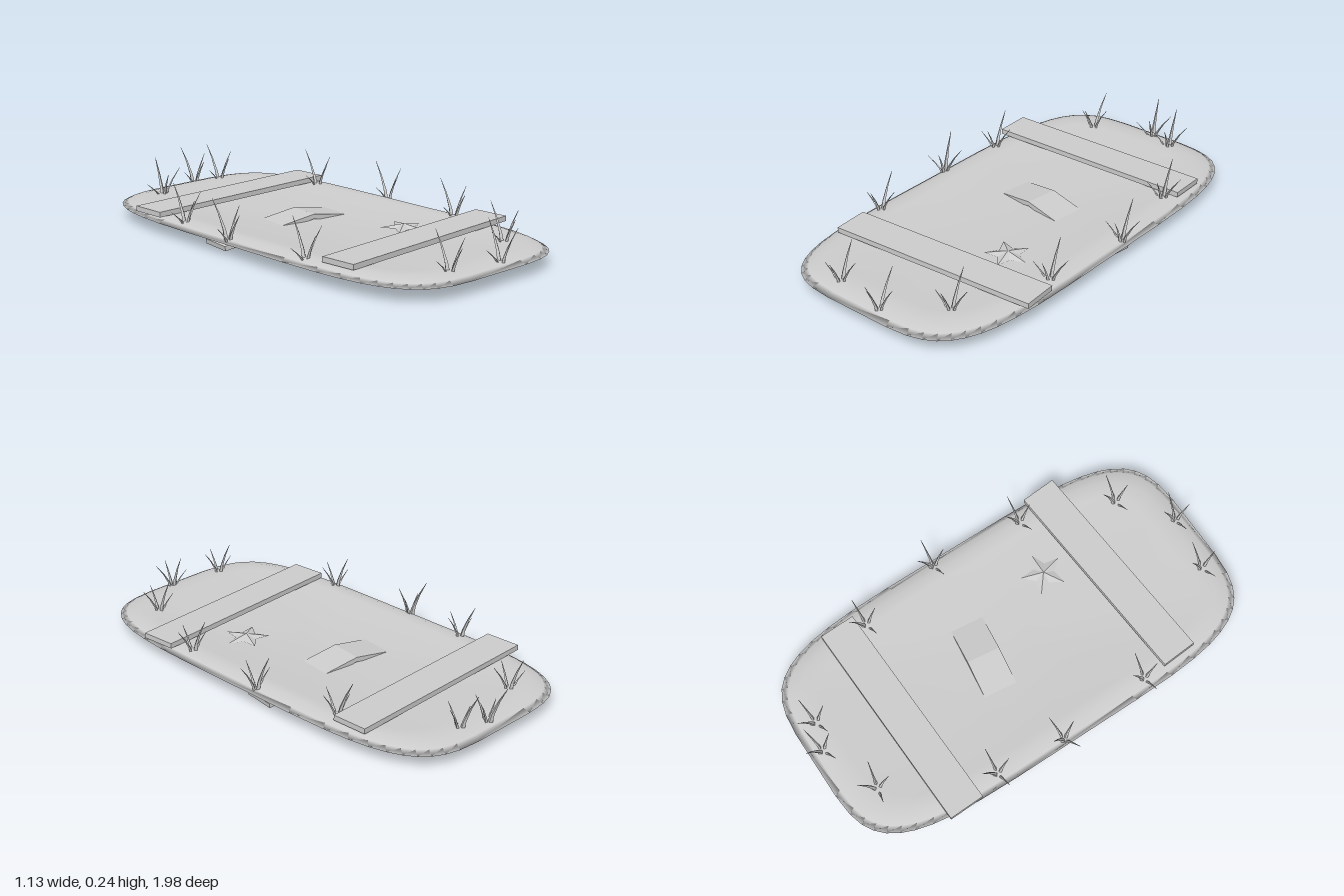
import * as THREE from 'three';

export function createModel() {
  const root = new THREE.Group();
  root.name = 'grassyPathTile';
  const grey = new THREE.MeshStandardMaterial({ color: 0xcccccc });
  grey.name = 'pale grey';

  const add = (name, geometry, parent = root) => {
    const mesh = new THREE.Mesh(geometry, grey);
    mesh.name = name;
    parent.add(mesh);
    return mesh;
  };
  const faceted = (geometry) => {
    const g = geometry.toNonIndexed();
    g.computeVertexNormals();
    return g;
  };

  // Ground slab: rounded-rectangle rings [half width, half length, height],
  // from the underside out to the rim and over the slightly dished top.
  const rings = [
    [0.01, 0.02, 0.057], [0.45, 0.92, 0.057], [0.512, 0.982, 0.06],
    [0.49, 0.955, 0.074], [0.45, 0.90, 0.088], [0.40, 0.83, 0.087],
    [0.26, 0.55, 0.068], [0.01, 0.02, 0.065],
  ];
  const sides = 44;
  const power = 2 / 4.5;
  const positions = [], indices = [];
  const bulge = (v) => Math.sign(v) * Math.pow(Math.abs(v), power);
  for (const [w, l, y] of rings) {
    for (let i = 0; i < sides; i++) {
      const a = ((i + 0.5) / sides) * Math.PI * 2;
      positions.push(w * bulge(Math.cos(a)), y, l * bulge(Math.sin(a)) + 0.003);
    }
  }
  for (let r = 0; r < rings.length - 1; r++) {
    for (let i = 0; i < sides; i++) {
      const j = (i + 1) % sides;
      const a = r * sides + i, b = r * sides + j;
      const c = a + sides, d = b + sides;
      indices.push(a, c, b, b, c, d);
    }
  }
  // Close the small middle of the underside and of the top
  const last = (rings.length - 1) * sides;
  for (let i = 1; i < sides - 1; i++) {
    indices.push(0, i, i + 1, last, last + i + 1, last + i);
  }
  const slab = new THREE.BufferGeometry();
  slab.setAttribute('position', new THREE.Float32BufferAttribute(positions, 3));
  slab.setIndex(indices);
  slab.computeVertexNormals();
  add('groundSlab', slab);

  // Two flat planks laid across the slab
  const plank = (name, x, z, yaw) => {
    const m = add(name, new THREE.BoxGeometry(0.975, 0.023, 0.16));
    m.position.set(x, 0.1, z);
    m.rotation.y = yaw;
  };
  plank('backPlank', -0.025, -0.57, 0.03);
  plank('frontPlank', 0.03, 0.53, 0.07);

  // Broken plank: two halves that meet at a ridge and sink through the slab
  const broken = new THREE.Group();
  broken.name = 'brokenPlank';
  broken.position.set(0.01, 0.092, -0.13);
  broken.rotation.y = -0.13;
  root.add(broken);
  for (const side of [-1, 1]) {
    const half = new THREE.BoxGeometry(0.46, 0.021, 0.15);
    half.translate(side * 0.23, -0.0105, 0);
    add(side < 0 ? 'rightHalf' : 'leftHalf', half, broken).rotation.z = -side * 0.15;
  }

  // Five-pointed starfish with a low raised centre
  const star = new THREE.ConeGeometry(0.1, 0.016, 10, 1);
  const sp = star.attributes.position;
  for (let i = 0; i < sp.count; i++) {
    const x = sp.getX(i), z = sp.getZ(i);
    const corner = Math.round(Math.atan2(z, x) / (Math.PI / 5) + 0.5);
    if (Math.hypot(x, z) > 0.01 && corner % 2 !== 0) {
      sp.setX(i, x * 0.48);
      sp.setZ(i, z * 0.48);
    }
  }
  const starfish = add('starfish', faceted(star));
  starfish.position.set(0.185, 0.079, 0.3);
  starfish.rotation.y = -0.37;

  // Grass blade: a tapered spike, bent outward toward its tip
  const blade = (height, lean, radius) => {
    const g = new THREE.CylinderGeometry(0.001, radius, height, 4, 3);
    g.translate(0, height / 2, 0);
    const p = g.attributes.position;
    for (let i = 0; i < p.count; i++) {
      const t = Math.max(0, p.getY(i) / height);
      p.setX(i, p.getX(i) + 0.006 + lean * Math.pow(t, 1.5));
    }
    return faceted(g);
  };
  // [height, outward lean, base radius, heading]
  const blades = [
    [0.145, 0.08, 0.008, 0], [0.185, 0.07, 0.012, Math.PI / 2],
    [0.085, 0.075, 0.008, Math.PI], [0.13, 0.05, 0.01, -Math.PI / 2],
  ].map(([h, l, r, heading]) => blade(h, l, r).rotateY(heading));

  // Tufts around the rim: [x, z, turn]
  const tufts = [
    [-0.23, -0.815, -0.2], [0.035, -0.92, 0.3], [0.155, -0.88, 0.2],
    [-0.455, -0.365, 0.05], [0.41, -0.47, 0.1], [-0.485, -0.05, 0.3],
    [0.48, -0.08, 0.05], [-0.455, 0.385, 0], [0.445, 0.35, 0.1],
    [0.29, 0.76, 0], [-0.18, 0.89, 0.05], [0.07, 0.93, -0.1],
  ];
  for (const [x, z, turn] of tufts) {
    const tuft = new THREE.Group();
    tuft.name = 'grassTuft';
    tuft.position.set(x, 0.053, z);
    tuft.rotation.y = turn;
    for (const g of blades) add('grassBlade', g, tuft);
    root.add(tuft);
  }

  return root;
}
